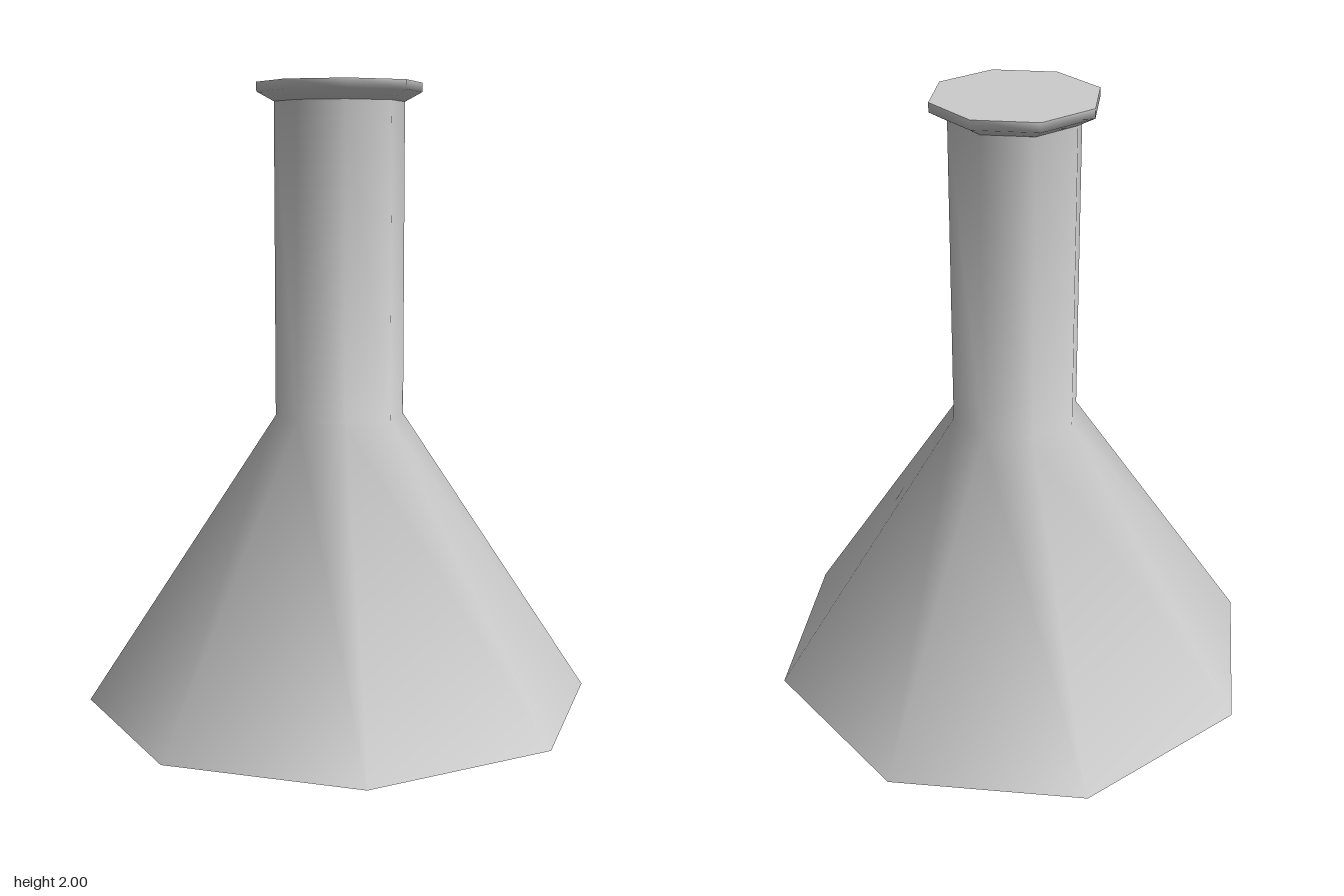
import * as THREE from 'three';

const SIDES = 8;
const material = new THREE.MeshStandardMaterial({ color: 0xcccccc });

function add(group, name, geometry) {
  const mesh = new THREE.Mesh(geometry, material);
  mesh.name = name;
  group.add(mesh);
  return mesh;
}

// Smooth eight-sided wall turned from a bottom-to-top profile
function wall(profile) {
  return new THREE.LatheGeometry(profile.map(([r, y]) => new THREE.Vector2(r, y)), SIDES);
}

// Flat octagonal cap facing up (1) or down (-1)
function cap(radius, y, facing) {
  return new THREE.CircleGeometry(radius, SIDES).rotateX(-facing * Math.PI / 2).translate(0, y, 0);
}

export function createModel() {
  const flask = new THREE.Group();
  flask.name = 'flask';

  // Conical body running into the straight neck
  add(flask, 'bodyAndNeck', wall([[0.825, 0], [0.208, 0.94], [0.208, 1.94]]));
  add(flask, 'base', cap(0.825, 0, -1));

  // Flared lip with a closed top
  add(flask, 'lip', wall([[0.208, 1.94], [0.263, 1.97], [0.263, 2]]));
  add(flask, 'lipTop', cap(0.263, 2, 1));

  return flask;
}
